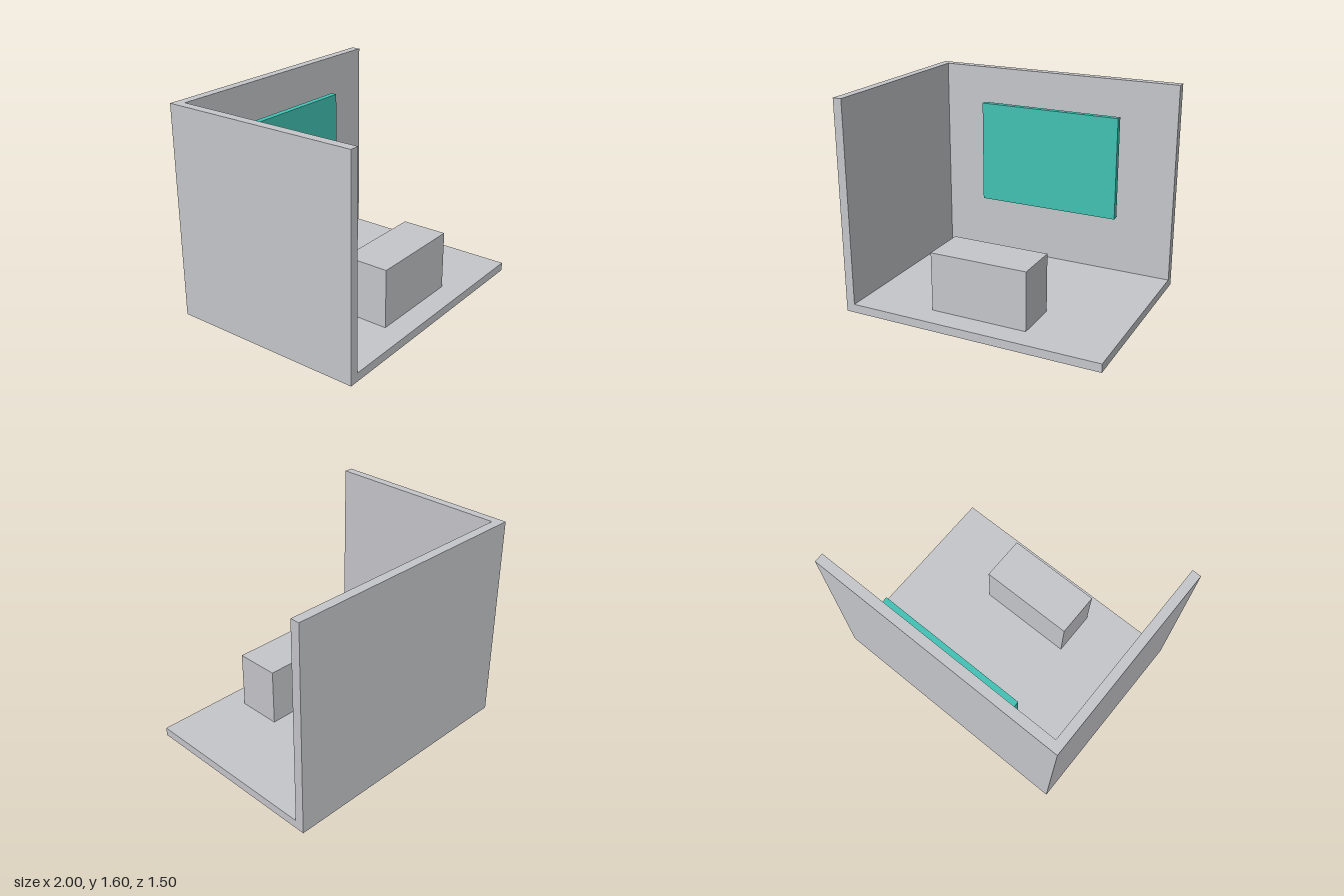
import * as THREE from 'three';

const grey = new THREE.MeshStandardMaterial({ color: 0xc5c6ca });
grey.name = 'light grey';
const teal = new THREE.MeshStandardMaterial({ color: 0x42c1b3 });
teal.name = 'teal';
const slate = new THREE.MeshStandardMaterial({ color: 0x4b6480 });
slate.name = 'slate blue';

// Box given by its lowest and highest corners
function block(name, material, min, max) {
  const size = max.map((v, i) => v - min[i]);
  const mesh = new THREE.Mesh(new THREE.BoxGeometry(...size), material);
  mesh.position.set(...max.map((v, i) => (v + min[i]) / 2));
  mesh.name = name;
  return mesh;
}

export function createModel() {
  const room = new THREE.Group();
  room.name = 'room';

  // Room shell: floor, back wall and one side wall
  room.add(
    block('floor', grey, [-1, 0, -0.75], [1, 0.065, 0.75]),
    block('backWall', grey, [-1, 0.065, -0.75], [1, 1.6, -0.68]),
    block('sideWall', grey, [-1, 0.065, -0.68], [-0.933, 1.6, 0.75])
  );

  // Free-standing counter
  room.add(block('counter', grey, [-0.373, 0.065, 0.226], [0.373, 0.513, 0.574]));

  // Wall panel with its smaller backing board
  const display = new THREE.Group();
  display.name = 'display';
  display.add(
    block('panel', teal, [-0.57, 0.527, -0.635], [0.57, 1.327, -0.587]),
    block('backing', slate, [-0.55, 0.571, -0.663], [0.55, 1.284, -0.635])
  );
  room.add(display);

  return room;
}
